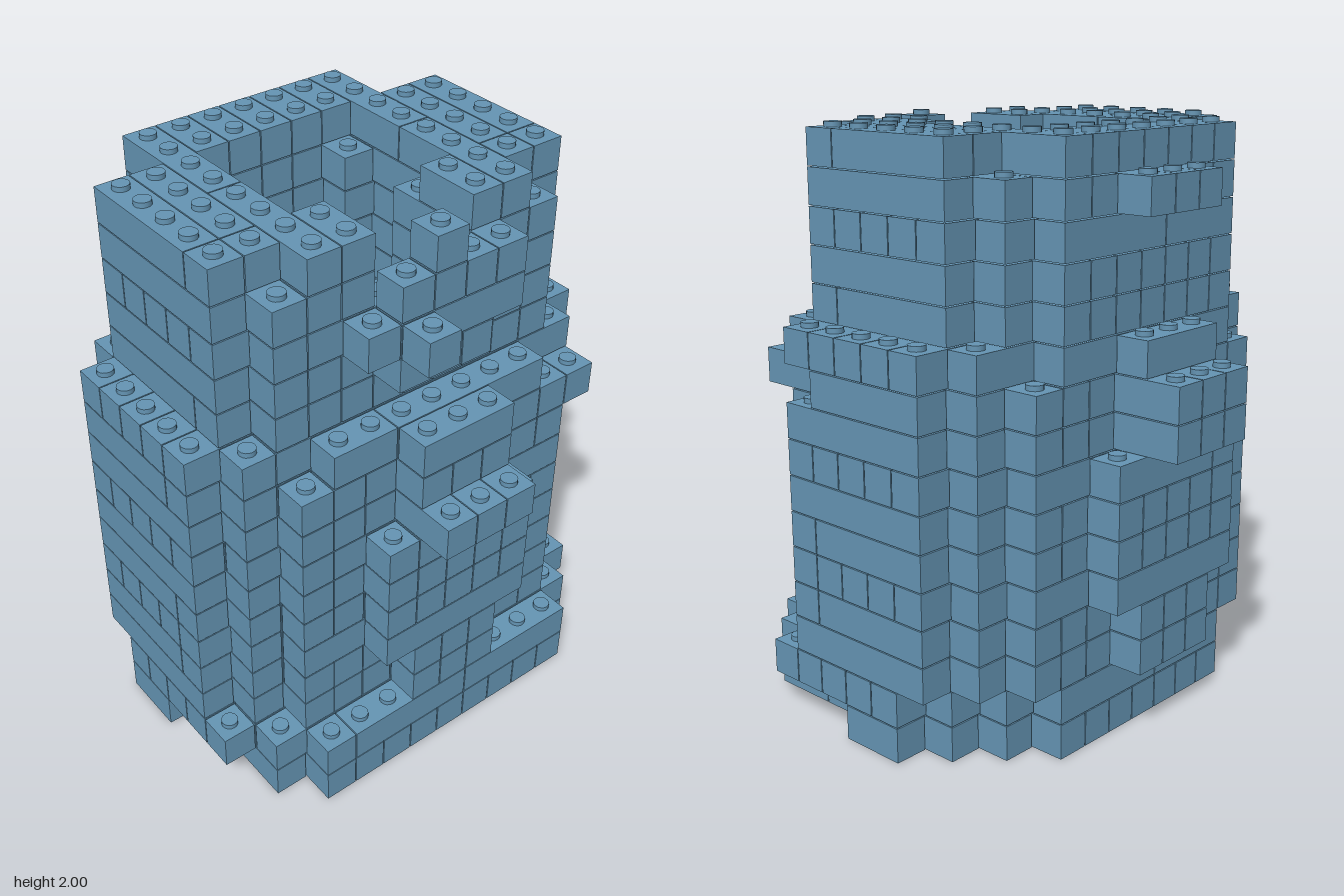
import * as THREE from 'three';
import { mergeGeometries } from 'three/addons/utils/BufferGeometryUtils.js';

const P = 0.1235;   // stud pitch
const H = 0.12405;  // layer height
const GAP = 0.004;  // seam between bricks
const STUD = 0.0152;
const LAYERS = 16, R = 6;

const within = (v, a, b) => v >= a && v <= b;

// Half widths of the round outlines, by distance from the middle row
const BODY = [5, 5, 4, 4, 4, 3, 2];
const NECK = [4, 4, 4, 4, 3, 2];
// [first, last] column of the foot, by distance from the middle row
const FOOT = [[-4, 5], [-4, 5], [-4, 5], [-4, 5], [-3, 5], [-2, 4], [-1, 3]];

// Foot: two layers, wider towards +x
function foot(i, y, k) {
  const row = Math.abs(k);
  if (y === 0 && row === 6) return within(i, -1, 0);
  return within(i, ...FOOT[row]);
}

// Body: round drum with side ribs and a ledge on each side
function body(i, y, k) {
  const row = Math.abs(k), col = Math.abs(i);
  if (col === 6) return row <= 1 && (y === 8 || (y === 9 && i < 0));
  if (col === 5 && row === 2) return within(y, 4, 7);
  if (col === 4 && row === 4) return y <= 9;
  if (i === 4 && k === -5) return y === 9;
  if (i === 2 && k === -6) return y !== 9;
  return col <= BODY[row];
}

// Neck: narrower drum with a stepped bulge on +x
function neck(i, y, k) {
  const row = Math.abs(k), col = Math.abs(i);
  if (row > 5) return false;
  if (i === 5) return y === 13 && k === 1;
  if (i === -5) return y === 14 && row <= 1;
  if (i === 4) {
    if (y === 12) return row <= 1;
    if (y === 13) return row <= 2;
    if (y === 14) return within(k, -2, 1);
    return y === 15 && k === 0;
  }
  if (col === 3 && row === 4) return y <= 14;
  return col <= NECK[row];
}

// Shaft open at the top, with steps around it
function hollow(i, y, k) {
  const row = Math.abs(k);
  if (row <= 1) {
    if (within(i, -2, 1)) return y >= 3;
    if (i === 2) return y >= 13;
    if (i === 3) return y >= 14;
  }
  if (row === 2) {
    if (within(i, -1, 0)) return y >= 3;
    if (i === -2 || i === 1) return y >= 15;
  }
  return false;
}

function filled(i, y, k) {
  if (y < 0 || y >= LAYERS || Math.abs(i) > R || Math.abs(k) > R) return false;
  if (hollow(i, y, k)) return false;
  return y < 2 ? foot(i, y, k) : y < 11 ? body(i, y, k) : neck(i, y, k);
}

// One brick covering columns i0..i1 and rows k0..k1
function brick(i0, i1, y, k0, k1) {
  return new THREE.BoxGeometry((i1 - i0 + 1) * P - GAP, H - GAP, (k1 - k0 + 1) * P - GAP)
    .translate((i0 + i1) / 2 * P, (y + 0.5) * H, (k0 + k1) / 2 * P);
}

// Bricks of a layer: runs laid along x or z in turn
function layerBricks(y) {
  const parts = [];
  const alongX = y % 3 !== 1;
  const maxRun = 5 - (y % 2);
  const at = (u, v) => alongX ? filled(u, y, v) : filled(v, y, u);
  for (let v = -R; v <= R; v++) {
    let start = null;
    for (let u = -R; u <= R + 1; u++) {
      const on = at(u, v);
      if (start !== null && (!on || u - start === maxRun)) {
        parts.push(alongX ? brick(start, u - 1, y, v, v) : brick(v, v, y, start, u - 1));
        start = null;
      }
      if (on && start === null) start = u;
    }
  }
  return parts;
}

// Studs wherever nothing sits on top
function layerStuds(y) {
  const parts = [];
  for (let i = -R; i <= R; i++) {
    for (let k = -R; k <= R; k++) {
      if (!filled(i, y, k) || filled(i, y + 1, k)) continue;
      parts.push(new THREE.CylinderGeometry(0.029, 0.029, STUD + GAP, 16)
        .translate(i * P, (y + 1) * H + (STUD - GAP) / 2, k * P));
    }
  }
  return parts;
}

export function createModel() {
  const model = new THREE.Group();
  model.name = 'brickTower';
  const blue = new THREE.MeshStandardMaterial({ color: 0x6595b4 });
  blue.name = 'sandBlue';

  const sections = [['foot', 0, 2], ['body', 2, 11], ['neck', 11, 16]];
  for (const [name, from, to] of sections) {
    const group = new THREE.Group();
    group.name = name;
    const bricks = [], studs = [];
    for (let y = from; y < to; y++) {
      bricks.push(...layerBricks(y));
      studs.push(...layerStuds(y));
    }
    const brickMesh = new THREE.Mesh(mergeGeometries(bricks), blue);
    brickMesh.name = name + 'Bricks';
    const studMesh = new THREE.Mesh(mergeGeometries(studs), blue);
    studMesh.name = name + 'Studs';
    group.add(brickMesh, studMesh);
    model.add(group);
  }
  return model;
}
